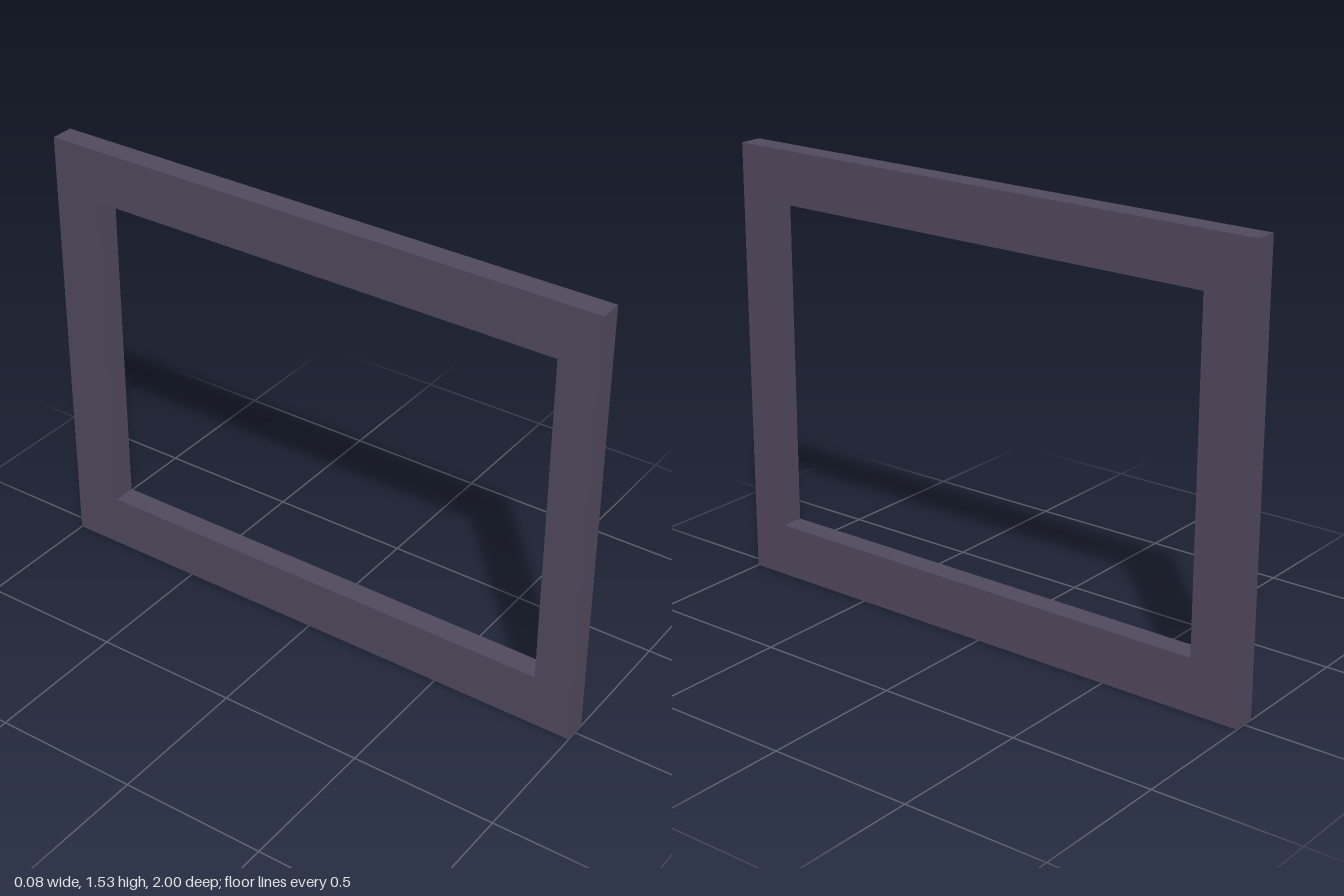
import * as THREE from 'three';

// Closed rectangle in the (z, y) plane
function rectangle(PathType, z0, y0, z1, y1) {
  const path = new PathType();
  path.moveTo(z0, y0);
  path.lineTo(z1, y0);
  path.lineTo(z1, y1);
  path.lineTo(z0, y1);
  path.closePath();
  return path;
}

export function createModel() {
  const model = new THREE.Group();
  model.name = 'rectangularFrame';

  const thickness = 0.08;
  const outline = rectangle(THREE.Shape, -1, 0, 1, 1.53);

  // Opening sits slightly off centre
  outline.holes.push(rectangle(THREE.Path, -0.825, 0.187, 0.865, 1.347));

  // Frame: extruded through its thickness, then turned so its width runs along z
  const geometry = new THREE.ExtrudeGeometry(outline, { depth: thickness, bevelEnabled: false });
  geometry.translate(0, 0, -thickness / 2);
  geometry.rotateY(-Math.PI / 2);

  const frame = new THREE.Mesh(
    geometry,
    new THREE.MeshStandardMaterial({ color: 0x51485c, flatShading: true })
  );
  frame.name = 'frame';
  model.add(frame);

  return model;
}
